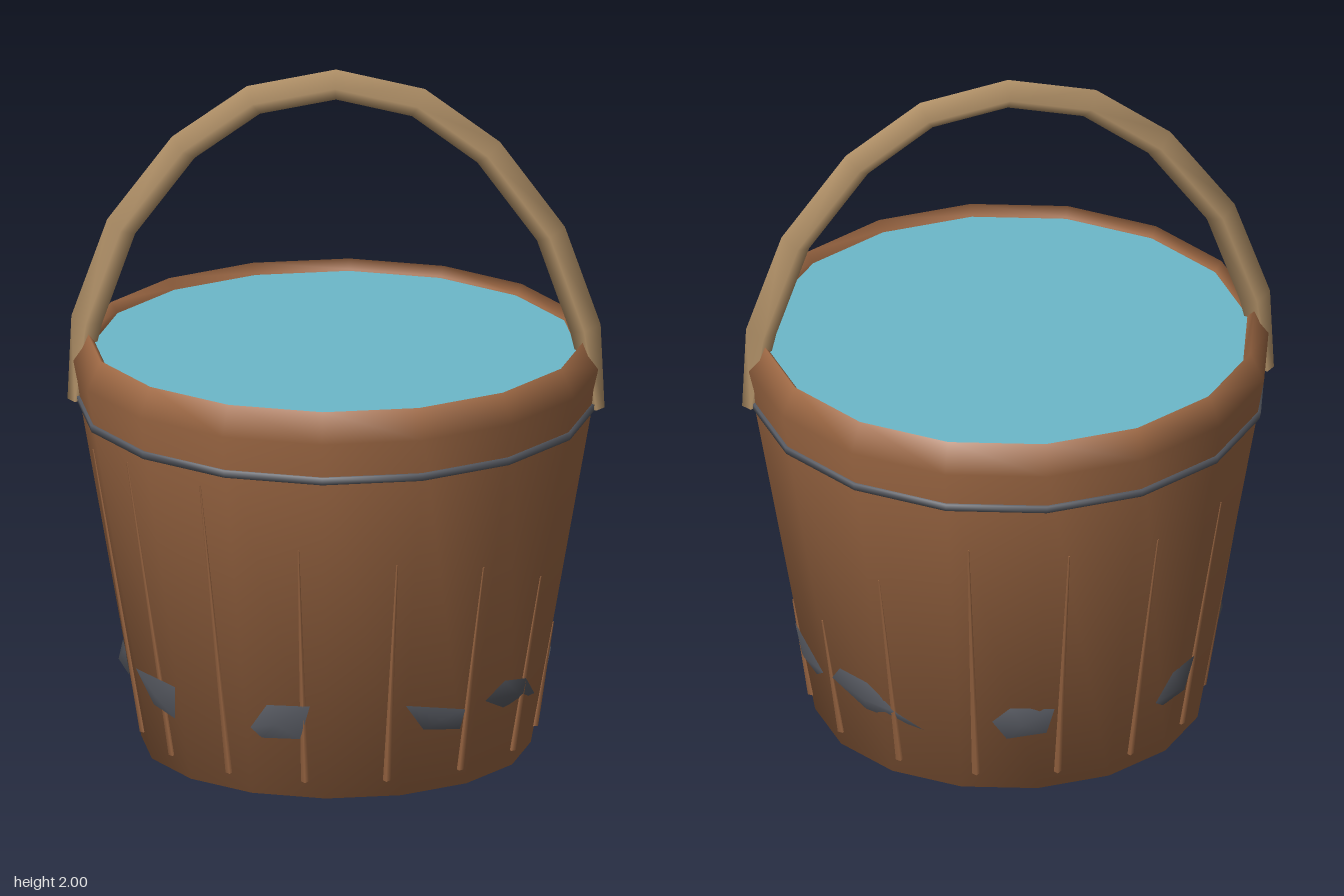
import * as THREE from 'three';

const SIDES = 16;
const mat = (name, color, side = THREE.FrontSide) => {
  const m = new THREE.MeshStandardMaterial({ color, side });
  m.name = name;
  return m;
};
const v2 = (p) => new THREE.Vector2(p[0], p[1]);

// Radius of the sixteen-sided wall at a given angle (degrees from the front) and height
function wallRadius(deg, y) {
  const step = 360 / SIDES;
  const off = (((deg % step) + step) % step) - step / 2;
  const r = 0.555 + (0.195 / 1.12) * y;
  return r * Math.cos(THREE.MathUtils.degToRad(step / 2)) / Math.cos(THREE.MathUtils.degToRad(off));
}
function onWall(deg, y, lift = 0) {
  const a = THREE.MathUtils.degToRad(deg);
  const r = wallRadius(deg, y) + lift;
  return new THREE.Vector3(Math.sin(a) * r, y, Math.cos(a) * r);
}
function buildGeometry(points, index) {
  const g = new THREE.BufferGeometry().setFromPoints(points);
  g.setIndex(index);
  g.computeVertexNormals();
  return g;
}

// Arched handle: diamond section swept over the bucket, tapering at both ends
function handleGeometry() {
  const half = [[0.235, 1.905], [0.435, 1.76], [0.612, 1.52], [0.71, 1.24], [0.743, 1.0]];
  const path = [...half.map(([x, y]) => [-x, y]).reverse(), [0, 1.955], ...half].map(v2);
  const points = [], index = [];
  path.forEach((p, i) => {
    const last = path.length - 1;
    const t = path[Math.min(i + 1, last)].clone().sub(path[Math.max(i - 1, 0)]).normalize();
    const r = i === 0 || i === last ? 0.022 : 0.045;
    for (let j = 0; j < 4; j++) {
      const c = Math.cos(j * Math.PI / 2) * r, s = Math.sin(j * Math.PI / 2) * r;
      points.push(new THREE.Vector3(p.x - t.y * c, p.y + t.x * c, s));
      if (i < last) {
        const a = i * 4 + j, b = i * 4 + (j + 1) % 4;
        index.push(a, b, a + 4, b, b + 4, a + 4);
      }
    }
  });
  const e = points.length - 4;
  index.push(0, 2, 1, 0, 3, 2, e, e + 1, e + 2, e, e + 2, e + 3);
  return buildGeometry(points, index);
}

// Faceted metal piece on the wall: corners [angle, height] around a raised middle
function plateGeometry(corners) {
  const n = corners.length;
  const mid = corners.reduce((s, c) => [s[0] + c[0] / n, s[1] + c[1] / n], [0, 0]);
  const points = [onWall(mid[0], mid[1], 0.025), ...corners.map(([a, y]) => onWall(a, y, 0.008))];
  const index = [];
  for (let i = 0; i < n; i++) index.push(0, 1 + i, 1 + (i + 1) % n);
  return buildGeometry(points, index);
}

export function createModel() {
  const group = new THREE.Group();
  const wood = mat('brown wood', 0xa06a45);
  const paleWood = mat('pale wood', 0xb5946a);
  const metal = mat('dark metal', 0x595c64, THREE.DoubleSide);
  const water = mat('water blue', 0x6cb8ca, THREE.DoubleSide);
  const add = (name, geometry, material) => {
    const mesh = new THREE.Mesh(geometry, material);
    mesh.name = name;
    group.add(mesh);
    return mesh;
  };

  // Tapered body with base, bevelled rim and inner lip
  const profile = [[0, 0], [0.555, 0], [0.75, 1.12], [0.71, 1.205], [0.69, 1.18], [0.67, 1.1]];
  add('bucketBody', new THREE.LatheGeometry(profile.map(v2), SIDES), wood);

  // Thin hoop below the rim
  const hoop = [[0.72, 0.995], [0.737, 0.995], [0.741, 1.017], [0.725, 1.017]];
  add('upperHoop', new THREE.LatheGeometry(hoop.map(v2), SIDES), metal);

  // Water surface with small ripples
  add('waterSurface', new THREE.CircleGeometry(0.69, SIDES).rotateX(-Math.PI / 2), water).position.y = 1.175;
  const ripples = [
    [[-0.33, -0.26], [-0.3, -0.243], [-0.22, -0.263]],
    [[0.14, -0.253], [0.22, -0.237], [0.24, -0.26]],
    [[-0.43, 0.065], [-0.37, 0.078], [-0.36, 0.05]],
    [[-0.04, 0.045], [0, 0.075], [0.06, 0.05]],
    [[0.04, 0.058], [0.14, 0.07], [0.15, 0.045]],
  ];
  ripples.forEach((r) => add('ripple',
    buildGeometry(r.map(([x, z]) => new THREE.Vector3(x, 1.179, z)), [0, 1, 2]), water));

  // Narrow tapering ridges between the staves
  const tops = [0.9, 0.95, 0.95, 0.78, 0.73, 0.68, 0.58, 0.36, 0.43, 0.68, 0.85, 0.82, 0.8, 0.8, 0.85];
  const up = new THREE.Vector3(0, 1, 0);
  tops.forEach((top, i) => {
    const deg = -78 + i * 24;
    const a = onWall(deg, 0.05), b = onWall(deg, top);
    const ridge = add('staveRidge', new THREE.CylinderGeometry(0.003, 0.012, a.distanceTo(b), 4), wood);
    ridge.position.copy(a).lerp(b, 0.5);
    ridge.quaternion.setFromUnitVectors(up, b.clone().sub(a).normalize());
  });

  // Broken lower hoop showing as separate pieces
  const plates = [
    [[-66, 0.28], [-59, 0.19], [-48, 0.18], [-45.5, 0.285]],
    [[-21, 0.21], [-18, 0.18], [-7, 0.185], [-4, 0.29], [-16, 0.285]],
    [[22, 0.285], [28, 0.2], [40, 0.18], [41, 0.24]],
    [[48, 0.25], [57, 0.205], [78, 0.185], [66, 0.27], [56, 0.29]],
    [[90, 0.285], [91, 0.19], [103, 0.185], [110, 0.23]],
    [[115, 0.24], [128, 0.19], [147, 0.18], [139, 0.22], [130, 0.29], [119, 0.29]],
    [[167, 0.24], [171, 0.18], [182, 0.2], [184, 0.28], [172, 0.29]],
    [[-143, 0.2], [-140, 0.18], [-130, 0.185], [-127, 0.285], [-138, 0.285]],
    [[-97, 0.2], [-93, 0.18], [-84, 0.2], [-81, 0.29], [-92, 0.28]],
  ];
  plates.forEach((p) => add('lowerHoopPiece', plateGeometry(p), metal));

  add('handle', handleGeometry(), paleWood);
  return group;
}
